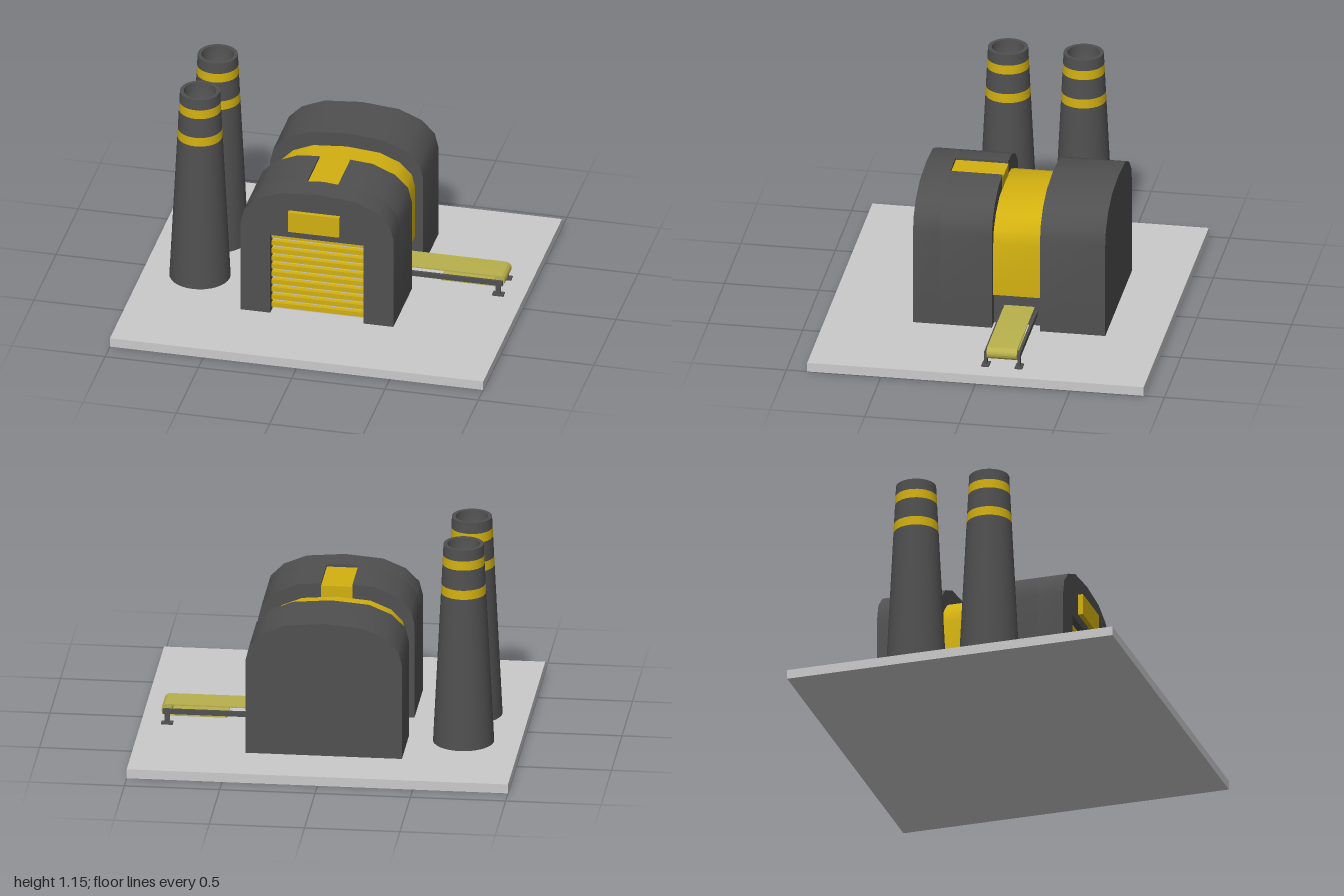
import * as THREE from 'three';
import { toCreasedNormals } from 'three/addons/utils/BufferGeometryUtils.js';

const material = (name, color, side = THREE.FrontSide) => {
  const m = new THREE.MeshStandardMaterial({ color, side });
  m.name = name;
  return m;
};

export function createModel() {
  const model = new THREE.Group();
  model.name = 'factory';
  const dark = material('charcoal', 0x505050);
  const yellow = material('yellow', 0xd2b010);
  const light = material('lightGrey', 0xcacaca);
  const beltMat = material('beltOlive', 0xb8b04c);

  const add = (name, geometry, mat, parent = model) => {
    const mesh = new THREE.Mesh(geometry, mat);
    mesh.name = name;
    parent.add(mesh);
    return mesh;
  };
  // Box given by its minimum and maximum corners
  const box = (name, mat, a, b, parent) => {
    const g = new THREE.BoxGeometry(b[0] - a[0], b[1] - a[1], b[2] - a[2]);
    g.translate((a[0] + b[0]) / 2, (a[1] + b[1]) / 2, (a[2] + b[2]) / 2);
    return add(name, g, mat, parent);
  };
  // Profile extruded along z between two depths
  const slab = (name, mat, points, z0, z1) => {
    const shape = new THREE.Shape(points.map(([x, y]) => new THREE.Vector2(x, y)));
    const g = new THREE.ExtrudeGeometry(shape, { depth: z1 - z0, bevelEnabled: false });
    g.translate(0, 0, z0);
    return add(name, toCreasedNormals(g, 0.6), mat);
  };

  // Ground slab
  const ground = 0.05;
  box('groundSlab', light, [-1, 0, -0.89], [1, ground, 0.89]);

  // Barrel roofed halls: right half of the arch, mirrored for the left
  const half = [[0.41, 0.57], [0.39, 0.65], [0.32, 0.72], [0.2, 0.77]];
  const mirrored = half.map(([x, y]) => [-x, y]).reverse();
  const arch = (bottom, top) => [...bottom, ...half, ...top, ...mirrored];
  const plainFloor = [[-0.41, ground], [0.41, ground]];
  const doorFloor = [[-0.41, ground], [-0.25, ground], [-0.25, 0.515],
    [0.25, 0.515], [0.25, ground], [0.41, ground]];
  const ridge = [[0, 0.787]];
  const roofNotch = [[0.08, 0.78], [0.08, 0.745], [-0.085, 0.745], [-0.085, 0.78]];
  slab('rearHall', dark, arch(plainFloor, ridge), -0.585, -0.24);
  slab('frontHall', dark, arch(plainFloor, roofNotch), 0.015, 0.29);
  slab('frontHallFacade', dark, arch(doorFloor, ridge), 0.29, 0.432);
  box('roofPanel', yellow, [-0.085, 0.7, 0.012], [0.08, 0.768, 0.29]);

  // Smaller linking hall with an opening for the conveyor
  const k = 0.895;
  const link = arch(plainFloor, ridge).map(([x, y]) => [x * k, ground + (y - ground) * k]);
  link.splice(1, 1, [0.3, ground], [0.3, 0.22], [0.41 * k, 0.22]);
  slab('linkHall', yellow, link, -0.24, 0.015);
  box('conveyorOpening', dark, [0.29, ground, -0.24], [0.34, 0.22, 0.015]);

  // Slatted door and sign board
  box('doorBacking', light, [-0.25, ground, 0.29], [0.25, 0.515, 0.375]);
  for (let i = 0; i < 10; i++) {
    const y = 0.069 + i * 0.0459;
    box('doorSlat', yellow, [-0.25, y, 0.375], [0.25, y + 0.026, 0.4]);
  }
  box('signBoard', yellow, [-0.15, 0.56, 0.43], [0.125, 0.675, 0.457]);

  // Chimneys: tapered bands stacked up, with a hollow mouth
  const radius = (y) => 0.16 - 0.055 * (y - ground) / 1.1;
  const levels = [ground, 0.88, 0.93, 1.04, 1.09, 1.15];
  for (const z of [-0.28, 0.12]) {
    const chimney = new THREE.Group();
    chimney.name = 'chimney';
    chimney.position.set(-0.7, 0, z);
    model.add(chimney);
    for (let i = 0; i < 5; i++) {
      const [y0, y1] = [levels[i], levels[i + 1]];
      const g = new THREE.CylinderGeometry(radius(y1), radius(y0), y1 - y0, 32, 1, true);
      g.translate(0, (y0 + y1) / 2, 0);
      add(i % 2 ? 'chimneyStripe' : 'chimneyShaft', g, i % 2 ? yellow : dark, chimney);
    }
    const mouth = [[0, 0.95], [0.078, 1.08], [0.085, 1.15], [0.105, 1.15]];
    const g = new THREE.LatheGeometry(mouth.map(([x, y]) => new THREE.Vector2(x, y)), 32);
    const m = add('chimneyMouth', toCreasedNormals(g, 0.6), dark, chimney);
    m.material = material('charcoalInside', 0x505050, THREE.DoubleSide);
  }

  // Conveyor belt: thin loop around the end roller
  const conveyor = new THREE.Group();
  conveyor.name = 'conveyor';
  model.add(conveyor);
  const loop = new THREE.Shape();
  loop.moveTo(0.3, 0.155);
  loop.lineTo(0.3, 0.148);
  loop.lineTo(0.862, 0.148);
  loop.absarc(0.862, 0.123, 0.025, Math.PI / 2, -Math.PI / 2, true);
  loop.lineTo(0.55, 0.098);
  loop.lineTo(0.55, 0.091);
  loop.lineTo(0.862, 0.091);
  loop.absarc(0.862, 0.123, 0.032, -Math.PI / 2, Math.PI / 2, false);
  const beltGeo = new THREE.ExtrudeGeometry(loop, { depth: 0.16, bevelEnabled: false, curveSegments: 12 });
  beltGeo.translate(0, 0, -0.2);
  add('belt', toCreasedNormals(beltGeo, 0.6), beltMat, conveyor);
  const roller = new THREE.CylinderGeometry(0.025, 0.025, 0.16, 20);
  roller.rotateX(Math.PI / 2).translate(0.862, 0.123, -0.12);
  add('roller', roller, beltMat, conveyor);

  // Rails, legs and feet on both sides of the belt
  for (const z of [-0.208, -0.032]) {
    box('rail', dark, [0.3, 0.105, z - 0.007], [0.885, 0.132, z + 0.007], conveyor);
    box('leg', dark, [0.848, ground, z - 0.007], [0.876, 0.11, z + 0.007], conveyor);
    box('foot', dark, [0.832, ground, z - 0.02], [0.893, 0.058, z + 0.02], conveyor);
  }
  return model;
}
